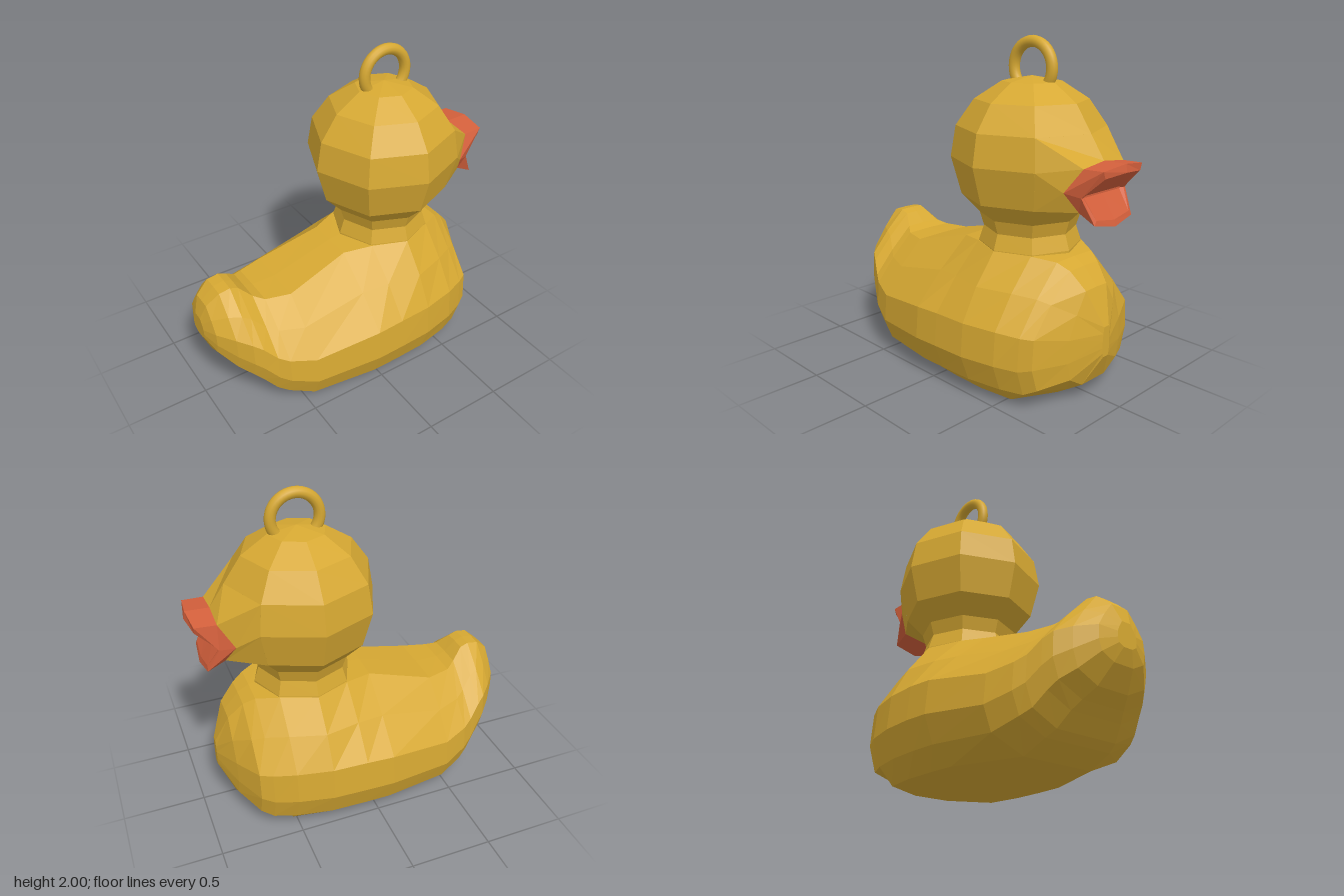
import * as THREE from 'three';

const yellow = new THREE.MeshStandardMaterial({ color: 0xd6a832, flatShading: true });
const smoothYellow = new THREE.MeshStandardMaterial({ color: 0xd6a832 });
const orange = new THREE.MeshStandardMaterial({ color: 0xd4603c, flatShading: true });

// Mirror a half outline (bottom to top on the +z side) into a closed ring
function mirrorRing(half) {
  const other = half.slice(1, -1).reverse().map(([x, y, z]) => [x, y, -z]);
  return [...half, ...other];
}

// Skin a list of rings running toward +x, with optional end caps
function loft(rings, capStart, capEnd) {
  const n = rings[0].length;
  const pos = rings.flat(2);
  const index = [];
  for (let i = 0; i < rings.length - 1; i++) {
    for (let j = 0; j < n; j++) {
      const k = (j + 1) % n;
      const a = i * n + j, b = i * n + k, c = b + n, d = a + n;
      index.push(a, d, c, a, c, b);
    }
  }
  const cap = (ring, start, flip) => {
    const centre = [0, 1, 2].map((m) => ring.reduce((s, p) => s + p[m], 0) / n);
    const c = pos.length / 3;
    pos.push(...centre);
    for (let j = 0; j < n; j++) {
      const a = start + j, b = start + ((j + 1) % n);
      if (flip) index.push(c, b, a);
      else index.push(c, a, b);
    }
  };
  if (capStart) cap(rings[0], 0, false);
  if (capEnd) cap(rings[rings.length - 1], (rings.length - 1) * n, true);
  const g = new THREE.BufferGeometry();
  g.setAttribute('position', new THREE.Float32BufferAttribute(pos, 3));
  g.setIndex(index);
  g.computeVertexNormals();
  return g;
}

// One pear-shaped body section: bottom/top heights, half width, flat bottom and top half widths
function bodySection([x, yb, yt, w, b, a]) {
  const y = (t) => yb + (yt - yb) * t;
  return mirrorRing([
    [x, yb, 0], [x, yb, b], [x, y(0.12), Math.max(b, w * 0.9)], [x, y(0.31), w],
    [x, y(0.55), w * 0.97], [x, y(0.78), w * 0.5 + a * 0.53], [x, y(0.995), a], [x, yt, 0],
  ]);
}

export function createModel() {
  const group = new THREE.Group();
  const add = (name, geometry, material) => {
    const mesh = new THREE.Mesh(geometry, material);
    mesh.name = name;
    group.add(mesh);
    return mesh;
  };

  // Body from the curled tail (-x) to the chest (+x)
  const sections = [
    [-0.985, 0.48, 0.62, 0.07, 0.03, 0.03],
    [-0.95, 0.40, 0.72, 0.17, 0.07, 0.06],
    [-0.87, 0.29, 0.79, 0.27, 0.11, 0.08],
    [-0.80, 0.23, 0.80, 0.34, 0.15, 0.08],
    [-0.75, 0.18, 0.78, 0.37, 0.18, 0.08],
    [-0.68, 0.10, 0.715, 0.41, 0.21, 0.12],
    [-0.62, 0.065, 0.69, 0.445, 0.23, 0.16],
    [-0.47, 0.0, 0.69, 0.50, 0.24, 0.20],
    [-0.07, 0.0, 0.80, 0.57, 0.39, 0.16],
    [0.10, 0.0, 0.82, 0.57, 0.40, 0.22],
    [0.31, 0.0, 0.82, 0.56, 0.40, 0.30],
    [0.52, 0.0, 0.82, 0.515, 0.37, 0.22],
    [0.65, 0.0, 0.80, 0.46, 0.12, 0.15],
    [0.72, 0.045, 0.76, 0.42, 0.12, 0.12],
    [0.81, 0.10, 0.66, 0.23, 0.10, 0.09],
    [0.89, 0.27, 0.45, 0.03, 0.02, 0.02],
  ];
  add('body', loft(sections.map(bodySection), true, true), yellow);

  // Eight-sided neck and head
  const profile = [
    [0.30, 0.78], [0.30, 0.82], [0.27, 0.91], [0.295, 0.99], [0.40, 1.10],
    [0.46, 1.32], [0.43, 1.50], [0.325, 1.65], [0.17, 1.75], [0, 1.78],
  ].map(([r, y]) => new THREE.Vector2(r, y));
  add('head', new THREE.LatheGeometry(profile, 8), yellow).position.x = 0.31;

  // Cheeks drawn forward from the head to the beak
  const beakBase = mirrorRing([
    [0.81, 1.09, 0], [0.80, 1.11, 0.16], [0.75, 1.22, 0.23], [0.83, 1.35, 0.17], [0.83, 1.37, 0],
  ]);
  const face = mirrorRing([
    [0.70, 1.08, 0], [0.593, 1.10, 0.283], [0.635, 1.32, 0.325], [0.614, 1.50, 0.304], [0.74, 1.50, 0],
  ]);
  add('cheeks', loft([face, beakBase], false, false), yellow);

  // Open beak: base, outer lips, inner lips, then back to the hinge line
  const outerLip = mirrorRing([
    [0.92, 1.03, 0], [0.905, 1.06, 0.16], [0.835, 1.2, 0.19], [0.955, 1.355, 0.165], [0.97, 1.375, 0],
  ]);
  const innerLip = mirrorRing([
    [0.91, 1.065, 0], [0.90, 1.085, 0.14], [0.835, 1.2, 0.175], [0.955, 1.315, 0.15], [0.98, 1.33, 0],
  ]);
  const hinge = mirrorRing([
    [0.825, 1.195, 0], [0.825, 1.195, 0.15], [0.825, 1.2, 0.16], [0.825, 1.205, 0.15], [0.825, 1.205, 0],
  ]);
  add('beak', loft([beakBase, outerLip, innerLip, hinge], false, true), orange);

  // Hanging ring on top of the head
  add('hangingRing', new THREE.TorusGeometry(0.142, 0.033, 12, 40), smoothYellow).position.set(0.315, 1.825, 0);

  return group;
}
